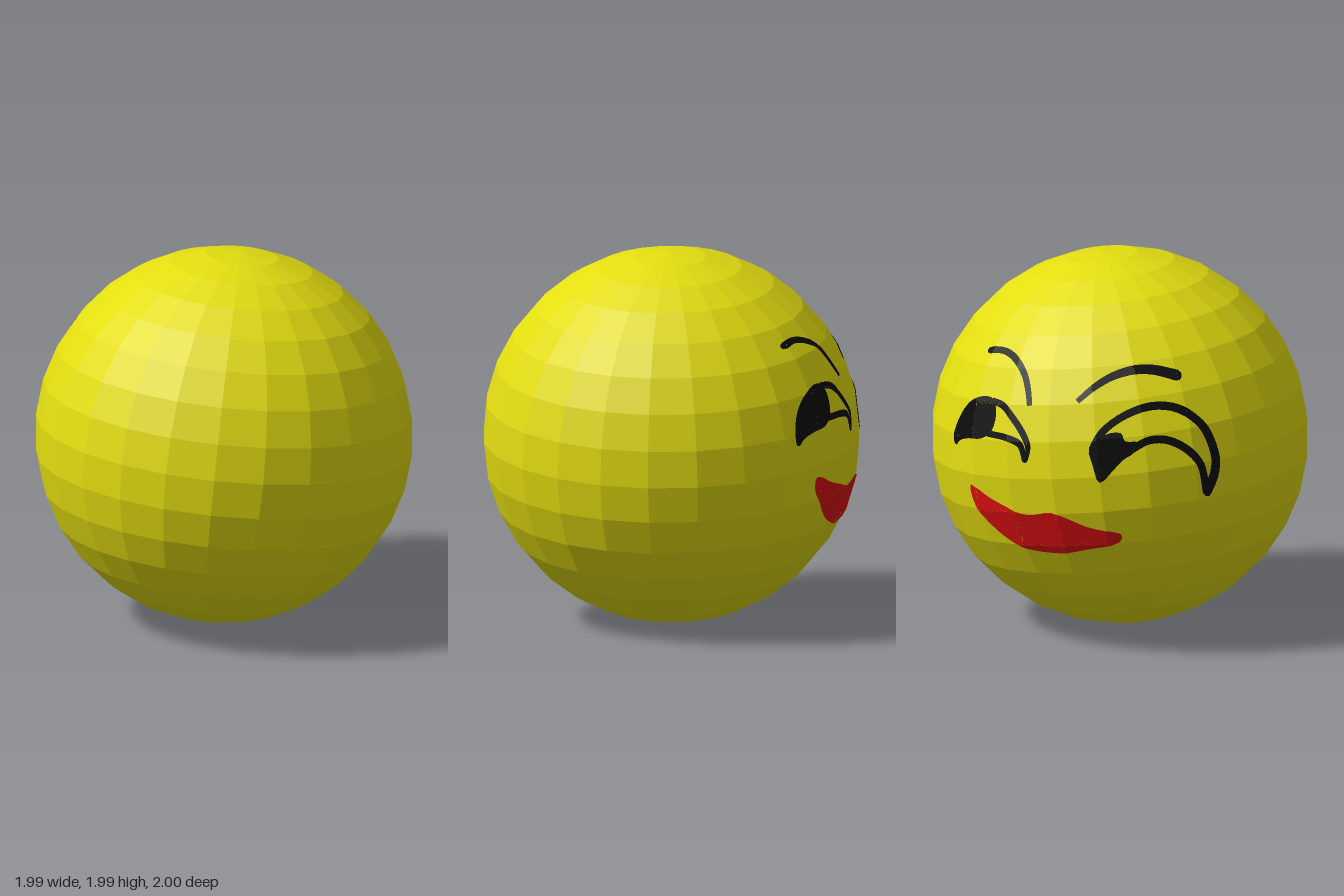
import * as THREE from 'three';

const SEGMENTS = 24, RINGS = 16, LIFT = 0.004;
const TILT = new THREE.Quaternion().setFromAxisAngle(new THREE.Vector3(0, 0, 1), -0.108);
const UNTILT = TILT.clone().invert();

const yellow = new THREE.MeshStandardMaterial({ color: 0xe3dd10 });
const black = new THREE.MeshStandardMaterial({ color: 0x0b0b0b, side: THREE.DoubleSide });
const red = new THREE.MeshStandardMaterial({ color: 0xdd0f12, side: THREE.DoubleSide });
yellow.name = 'yellow skin';
black.name = 'black ink';
red.name = 'red lips';
for (const m of [yellow, black, red]) m.flatShading = true;

// Corner of the tilted ball's facet grid
function corner(ring, seg) {
  const t = ring * Math.PI / RINGS, p = seg * 2 * Math.PI / SEGMENTS;
  return new THREE.Vector3(-Math.cos(p) * Math.sin(t), Math.cos(t), Math.sin(p) * Math.sin(t)).applyQuaternion(TILT);
}

// Plane of the facet that lies under a point
function facetPlane(point) {
  const q = point.clone().normalize().applyQuaternion(UNTILT);
  const i = Math.floor(Math.acos(q.y) * RINGS / Math.PI);
  const j = Math.floor(Math.atan2(q.z, -q.x) * SEGMENTS / (2 * Math.PI));
  return new THREE.Plane().setFromCoplanarPoints(corner(i, j), corner(i + 1, j), corner(i + 1, j + 1));
}

// Drawing frame that looks at the ball's centre from an azimuth and elevation
function drawingFrame(azimuth, elevation) {
  const a = THREE.MathUtils.degToRad(azimuth), e = THREE.MathUtils.degToRad(elevation);
  const toward = new THREE.Vector3(Math.sin(a) * Math.cos(e), Math.sin(e), -Math.cos(a) * Math.cos(e));
  const right = new THREE.Vector3(0, 1, 0).cross(toward).normalize();
  return { toward, right, up: toward.clone().cross(right) };
}

// Paint a flat outline onto the ball: cut it small, then lay each piece on its facet
function paint(name, frame, outline, material) {
  const flat = new THREE.ShapeGeometry(new THREE.Shape(outline)).toNonIndexed().attributes.position;
  const onBall = v => new THREE.Vector3()
    .addScaledVector(frame.right, v.x).addScaledVector(frame.up, v.y)
    .addScaledVector(frame.toward, Math.sqrt(Math.max(0, 1 - v.x * v.x - v.y * v.y)));
  const positions = [];
  const lay = (a, b, c) => {
    const P = [a, b, c].map(onBall);
    const sides = [P[0].distanceTo(P[1]), P[1].distanceTo(P[2]), P[2].distanceTo(P[0])];
    const longest = Math.max(...sides);
    if (longest > 0.03) {
      const k = sides.indexOf(longest), T = [a, b, c];
      const [u, v, w] = [T[k], T[(k + 1) % 3], T[(k + 2) % 3]];
      const mid = u.clone().lerp(v, 0.5);
      lay(u, mid, w);
      lay(mid, v, w);
      return;
    }
    const plane = facetPlane(P[0].clone().add(P[1]).add(P[2]));
    for (const p of P) {
      p.multiplyScalar((LIFT - plane.constant) / plane.normal.dot(p));
      positions.push(p.x, p.y, p.z);
    }
  };
  const at = i => new THREE.Vector2(flat.getX(i), flat.getY(i));
  for (let i = 0; i < flat.count; i += 3) lay(at(i), at(i + 1), at(i + 2));
  const geometry = new THREE.BufferGeometry();
  geometry.setAttribute('position', new THREE.Float32BufferAttribute(positions, 3));
  geometry.computeVertexNormals();
  const mesh = new THREE.Mesh(geometry, material);
  mesh.name = name;
  return mesh;
}

const points = list => list.map(([x, y]) => new THREE.Vector2(x, y));

// Outline of a tapered brush stroke with round ends along a smooth path
function stroke(path, startHalf, endHalf, steps = 28) {
  const curve = new THREE.SplineCurve(points(path));
  const left = [], right = [];
  for (let i = 0; i <= steps; i++) {
    const t = i / steps, p = curve.getPoint(t), d = curve.getTangent(t);
    const h = startHalf + (endHalf - startHalf) * t;
    const n = new THREE.Vector2(-d.y, d.x).multiplyScalar(h);
    left.push(p.clone().add(n));
    right.unshift(p.clone().sub(n));
    if (i === steps) {
      for (const s of [0.7, 0, -0.7]) {
        left.push(p.clone().addScaledVector(n, s).addScaledVector(d, h * Math.sqrt(1 - s * s) * 0.9));
      }
    }
  }
  return [...left, ...right];
}

// Smoothed closed outline
const blob = list => new THREE.CatmullRomCurve3(
  list.map(([x, y]) => new THREE.Vector3(x, y, 0)), true, 'centripetal')
  .getPoints(list.length * 3).slice(0, -1).map(p => new THREE.Vector2(p.x, p.y));

export function createModel() {
  const model = new THREE.Group();
  model.name = 'smilingBall';
  const head = new THREE.Group();
  head.name = 'head';
  head.position.y = 0.997;
  model.add(head);

  // Faceted ball, pole leaning to +x
  const ball = new THREE.Mesh(new THREE.SphereGeometry(1, SEGMENTS, RINGS).toNonIndexed(), yellow);
  ball.geometry.computeVertexNormals();
  ball.quaternion.copy(TILT);
  ball.name = 'ball';
  head.add(ball);

  // The face lies on the -z side
  const above = drawingFrame(-35, 25), below = drawingFrame(40, -30);

  // Eyebrows
  head.add(paint('rightEyebrow', above, stroke([[-0.43, 0.035], [-0.345, 0.095], [-0.25, 0.145],
    [-0.14, 0.17], [-0.02, 0.167], [0.105, 0.128]], 0.014, 0.031), black));
  head.add(paint('leftEyebrow', above, stroke([[-0.655, 0.054], [-0.656, 0.226], [-0.683, 0.333],
    [-0.72, 0.39], [-0.765, 0.41]], 0.012, 0.021), black));

  // Right eye
  head.add(paint('rightUpperLid', above, stroke([[-0.37, -0.215], [-0.31, -0.135], [-0.19, -0.065],
    [-0.04, -0.03], [0.1, -0.055], [0.225, -0.15], [0.285, -0.28], [0.285, -0.39], [0.24, -0.48]], 0.018, 0.028), black));
  head.add(paint('rightLowerLid', above, stroke([[-0.17, -0.25], [-0.085, -0.212], [0.02, -0.215],
    [0.13, -0.27], [0.205, -0.355], [0.235, -0.48]], 0.02, 0.022), black));
  head.add(paint('rightPupil', above, blob([[-0.39, -0.215], [-0.31, -0.16], [-0.225, -0.16], [-0.205, -0.205],
    [-0.14, -0.215], [-0.165, -0.27], [-0.22, -0.3], [-0.27, -0.345], [-0.34, -0.4], [-0.375, -0.31]]), black));

  // Left eye
  head.add(paint('leftUpperLid', below, stroke([[0.235, 0.76], [0.33, 0.735], [0.425, 0.667],
    [0.49, 0.6], [0.517, 0.55], [0.51, 0.5]], 0.011, 0.013), black));
  head.add(paint('leftLowerLid', below, stroke([[0.26, 0.635], [0.38, 0.615], [0.47, 0.575],
    [0.505, 0.505]], 0.013, 0.013), black));
  head.add(paint('leftPupil', below, blob([[-0.016, 0.57], [-0.02, 0.625], [0.016, 0.7], [0.075, 0.747],
    [0.167, 0.774], [0.247, 0.763], [0.29, 0.71], [0.285, 0.645], [0.226, 0.613], [0.13, 0.607],
    [0.04, 0.586], [0.005, 0.56]]), black));

  // Mouth
  head.add(paint('mouth', below, blob([[0.14, 0.387], [0.183, 0.382], [0.274, 0.333], [0.392, 0.28],
    [0.505, 0.226], [0.624, 0.215], [0.688, 0.156], [0.747, 0.08], [0.839, -0.027], [0.823, -0.07],
    [0.731, -0.054], [0.597, -0.032], [0.495, 0], [0.398, 0.048], [0.3, 0.118], [0.204, 0.226], [0.14, 0.323]]), red));

  return model;
}
